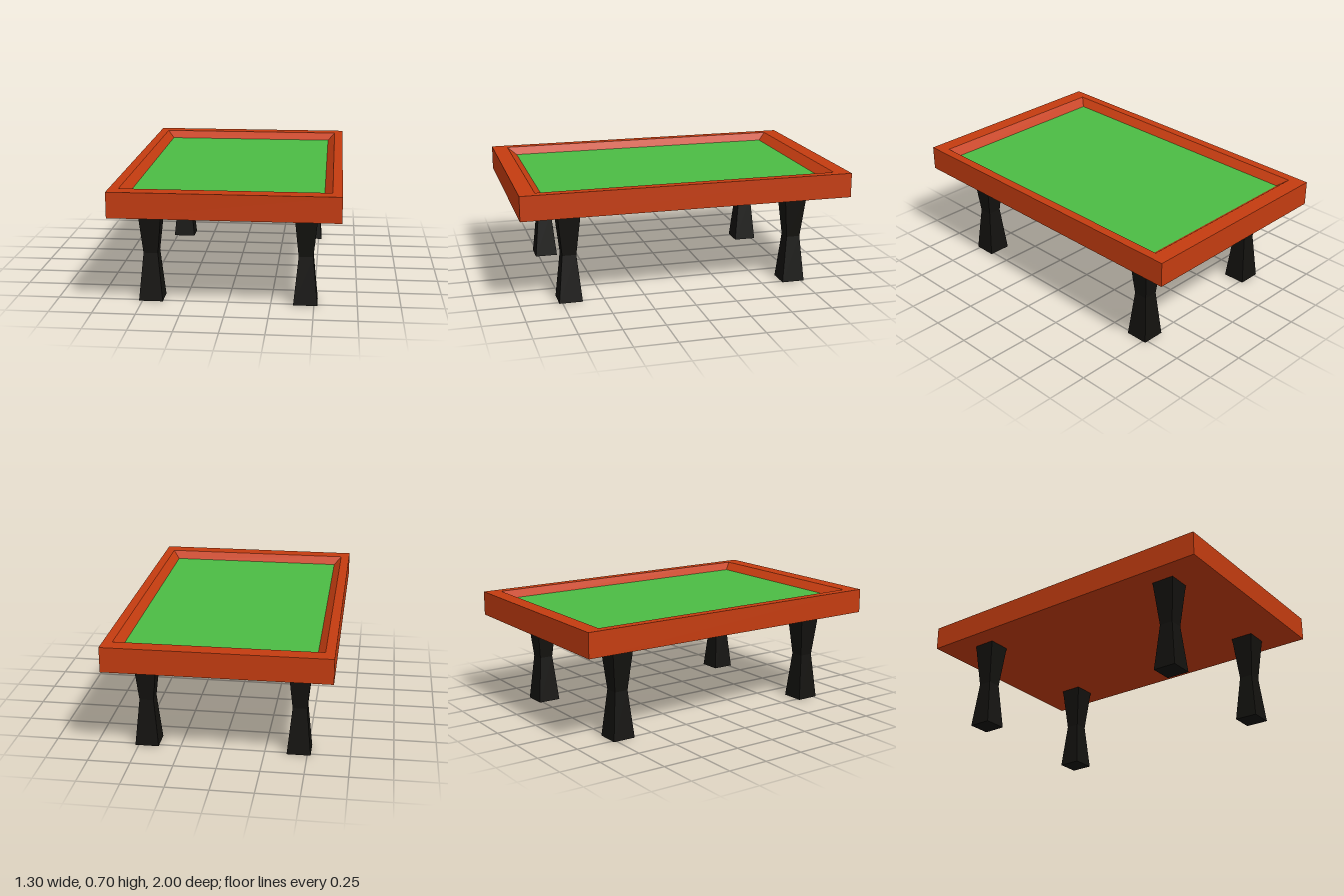
import * as THREE from 'three';

const TOP = 0.705, UNDER = 0.557, FELT = 0.663;

// Skins a stack of rectangular rings [halfX, halfZ, y]; the first ring is closed downwards,
// the last one upwards if capped.
function loft(rings, capTop) {
  const corners = [[-1, 1], [1, 1], [1, -1], [-1, -1]];
  const point = ([hx, hz, y], k) => [corners[k % 4][0] * hx, y, corners[k % 4][1] * hz];
  const pos = [];
  const quad = (a, b, c, d) => pos.push(...a, ...b, ...c, ...a, ...c, ...d);
  for (let i = 0; i < rings.length - 1; i++) {
    for (let k = 0; k < 4; k++) {
      quad(point(rings[i], k), point(rings[i], k + 1), point(rings[i + 1], k + 1), point(rings[i + 1], k));
    }
  }
  const first = rings[0], last = rings[rings.length - 1];
  quad(point(first, 3), point(first, 2), point(first, 1), point(first, 0));
  if (capTop) quad(point(last, 0), point(last, 1), point(last, 2), point(last, 3));
  const geometry = new THREE.BufferGeometry();
  geometry.setAttribute('position', new THREE.Float32BufferAttribute(pos, 3));
  geometry.computeVertexNormals();
  return geometry;
}

function addMesh(parent, name, geometry, color) {
  const material = new THREE.MeshStandardMaterial({ color, flatShading: true });
  const mesh = new THREE.Mesh(geometry, material);
  mesh.name = name;
  parent.add(mesh);
  return mesh;
}

export function createModel() {
  const table = new THREE.Group();
  table.name = 'gameTable';

  // Wooden tray: underside, outer walls, flat rim, then sloping inner walls
  addMesh(table, 'woodenFrame', loft([
    [0.65, 1, UNDER], [0.65, 1, TOP], [0.595, 0.905, TOP], [0.55, 0.85, FELT],
  ], false), 0xc43c10);

  // Green playing surface
  const felt = new THREE.PlaneGeometry(1.1, 1.7).rotateX(-Math.PI / 2);
  addMesh(table, 'playingSurface', felt, 0x4cbc44).position.y = FELT;

  // Four square legs, pinched at the middle
  const leg = loft([[0.07, 0.07, 0], [0.042, 0.042, 0.285], [0.07, 0.07, UNDER]], true);
  for (const [side, x] of [['Left', 0.45], ['Right', -0.45]]) {
    for (const [end, z] of [['front', 0.7], ['back', -0.7]]) {
      addMesh(table, `${end}${side}Leg`, leg, 0x13120f).position.set(x, 0, z);
    }
  }
  return table;
}
